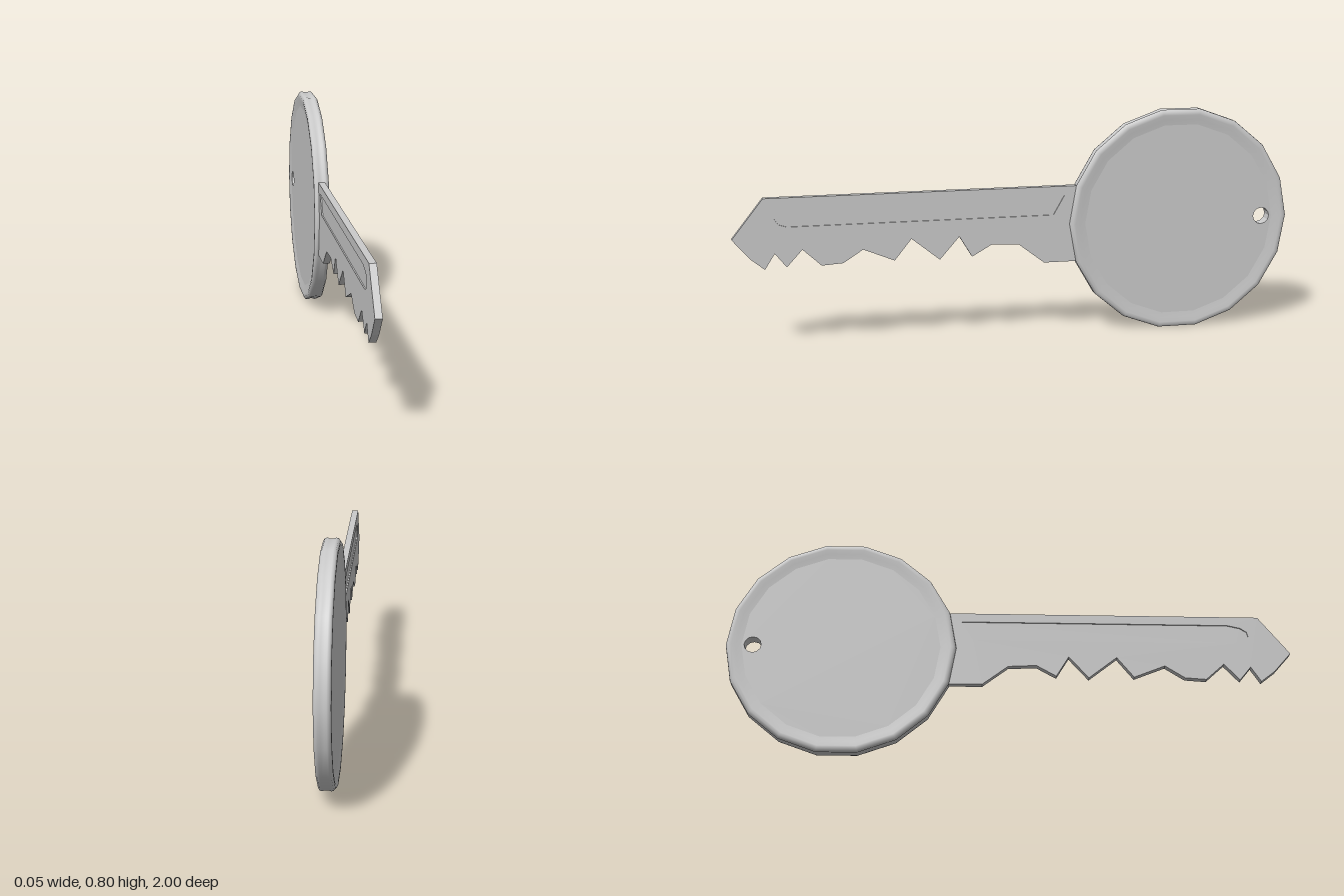
import * as THREE from 'three';

const HEAD_Y = 0.402, HEAD_Z = -0.594, SIDES = 18;
const material = new THREE.MeshStandardMaterial({ color: 0xcccccc });

const toPoints = (list) => list.map(([a, b]) => new THREE.Vector2(a, b));

function polygon(cx, cy, r, n) {
  return Array.from({ length: n }, (_, i) => {
    const t = (i / n) * Math.PI * 2;
    return [cx + r * Math.cos(t), cy + r * Math.sin(t)];
  });
}

// Plate drawn in (z, y), centred on x = 0, with optional holes
function plate(name, outline, thickness, holes = []) {
  const shape = new THREE.Shape(toPoints(outline));
  holes.forEach((h) => shape.holes.push(new THREE.Path(toPoints(h))));
  const geometry = new THREE.ExtrudeGeometry(shape, { depth: thickness, bevelEnabled: false });
  geometry.translate(0, 0, -thickness / 2).rotateY(-Math.PI / 2);
  const mesh = new THREE.Mesh(geometry, material);
  mesh.name = name;
  return mesh;
}

export function createModel() {
  const key = new THREE.Group();
  key.name = 'key';

  // Head: slightly dished disc with a ring hole
  const head = new THREE.Group();
  head.name = 'head';
  const ringHole = polygon(-0.905, HEAD_Y, 0.03, 12);
  head.add(plate('headDisc', polygon(HEAD_Z, HEAD_Y, 0.35, SIDES), 0.044, [ringHole]));

  // Raised rim, with a faint groove round its edge
  const half = [[0.35, 0.022], [0.37, 0.0245], [0.386, 0.0275], [0.396, 0.0275], [0.404, 0.022], [0.406, 0.014], [0.403, 0.006]];
  const profile = [...half.map(([r, x]) => [r, -x]), ...half.slice().reverse()];
  const rimGeometry = new THREE.LatheGeometry(toPoints(profile), SIDES);
  rimGeometry.rotateZ(Math.PI / 2).translate(0, HEAD_Y, HEAD_Z);
  const rim = new THREE.Mesh(rimGeometry, material);
  rim.name = 'headRim';
  head.add(rim);
  key.add(head);

  // Blade: pointed tip, straight back and cut teeth
  const bladeOutline = [
    [-0.25, 0.54], [-0.25, 0.265], [-0.096, 0.265], [-0.005, 0.335], [0.095, 0.34],
    [0.165, 0.3], [0.21, 0.375], [0.28, 0.295], [0.38, 0.375], [0.44, 0.3],
    [0.55, 0.345], [0.62, 0.3], [0.695, 0.295], [0.76, 0.355], [0.815, 0.295],
    [0.855, 0.345], [0.89, 0.29], [0.94, 0.33], [1, 0.4], [0.89, 0.54],
  ];
  // Long groove on both faces, closed by a thinner web
  const groove = [
    [-0.17, 0.507], [-0.13, 0.437], [0.81, 0.437], [0.84, 0.446], [0.853, 0.465],
    [0.848, 0.482], [0.825, 0.497], [0.78, 0.507],
  ];
  const blade = new THREE.Group();
  blade.name = 'blade';
  blade.add(plate('bladeBody', bladeOutline, 0.024, [groove]));
  blade.add(plate('grooveWeb', groove, 0.015));
  key.add(blade);

  return key;
}
